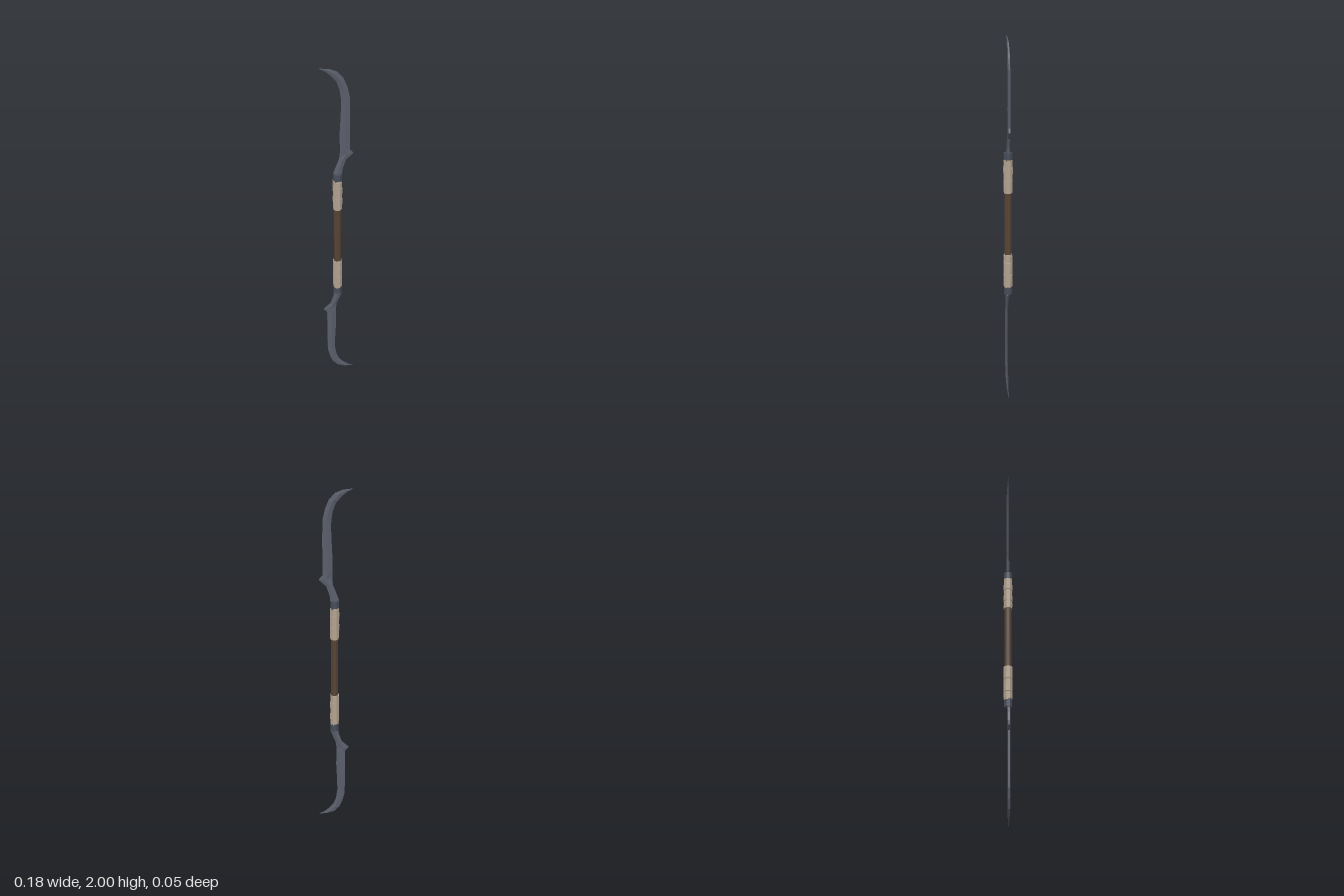
import * as THREE from 'three';

const material = (name, color) => {
  const m = new THREE.MeshStandardMaterial({ color });
  m.name = name;
  return m;
};

// Faceted blade: rings of [inner x, inner y, outer x, outer y, half thickness]
function bladeGeometry() {
  const stations = [
    [-0.024, 1.405, 0.020, 1.395, 0.010],
    [-0.012, 1.440, 0.024, 1.430, 0.009],
    [0.005, 1.485, 0.041, 1.482, 0.008],
    [0.010, 1.520, 0.079, 1.518, 0.008],
    [0.010, 1.550, 0.060, 1.540, 0.008],
    [0.009, 1.640, 0.060, 1.640, 0.008],
    [0.014, 1.740, 0.060, 1.750, 0.008],
    [0.016, 1.820, 0.058, 1.840, 0.008],
    [0.008, 1.880, 0.046, 1.895, 0.008],
    [-0.008, 1.925, 0.028, 1.940, 0.007],
    [-0.035, 1.958, -0.002, 1.976, 0.005],
    [-0.060, 1.980, -0.042, 1.993, 0.003],
    [-0.092, 1.999, -0.091, 2.000, 0.0005],
  ];
  const rings = stations.map(([ix, iy, ox, oy, t]) => {
    const rx = ix + (ox - ix) * 0.5, ry = iy + (oy - iy) * 0.5;
    return [[ix, iy, 0], [rx, ry, t], [ox, oy, t * 0.6], [ox, oy, -t * 0.6], [rx, ry, -t]];
  });
  const pos = [];
  const tri = (...corners) => corners.forEach((c) => pos.push(...c));
  for (let i = 0; i < rings.length - 1; i++) {
    for (let j = 0; j < 5; j++) {
      const k = (j + 1) % 5, lo = rings[i], hi = rings[i + 1];
      tri(lo[j], lo[k], hi[k]);
      tri(lo[j], hi[k], hi[j]);
    }
  }
  const base = rings[0], tip = rings[rings.length - 1];
  for (let j = 1; j < 4; j++) {
    tri(base[0], base[j + 1], base[j]);
    tri(tip[0], tip[j], tip[j + 1]);
  }
  const g = new THREE.BufferGeometry();
  g.setAttribute('position', new THREE.Float32BufferAttribute(pos, 3));
  g.computeVertexNormals();
  return g;
}

// Eight-sided rod with flat facets between two heights
function rod(name, radius, y0, y1, mat, slope = 0) {
  let g = new THREE.CylinderGeometry(radius, radius, y1 - y0, 8);
  g.rotateY(Math.PI / 8);
  const p = g.attributes.position;
  for (let i = 0; i < p.count; i++) p.setY(i, p.getY(i) + slope * p.getX(i));
  g = g.toNonIndexed();
  g.computeVertexNormals();
  const mesh = new THREE.Mesh(g, mat);
  mesh.name = name;
  mesh.position.set(-0.002, (y0 + y1) / 2, 0);
  return mesh;
}

export function createModel() {
  const steel = material('blade steel', 0x5a5e6a);
  const darkSteel = material('collar steel', 0x474d5a);
  const cloth = material('wrap cloth', 0xb3a390);
  const wood = material('grip wood', 0x574435);

  const model = new THREE.Group();
  model.name = 'doubleBladedStaff';
  model.add(rod('grip', 0.0205, 0.80, 1.21, wood));

  // Cloth wraps: a core with slanted overlapping bands
  for (const [name, y0, y1] of [['lowerWrap', 0.645, 0.835], ['upperWrap', 1.18, 1.362]]) {
    const wrap = new THREE.Group();
    wrap.name = name;
    wrap.add(rod('wrapCore', 0.0235, y0, y1, cloth));
    const n = 5, step = (y1 - y0 - 0.014) / n;
    for (let i = 0; i < n; i++) {
      const a = y0 + 0.007 + i * step;
      const radius = i % 2 ? 0.0262 : 0.0250;
      wrap.add(rod('wrapBand', radius, a, a + step, cloth, i % 2 ? -0.25 : -0.15));
    }
    model.add(wrap);
  }

  // Metal collars
  model.add(rod('lowerCollar', 0.0235, 0.605, 0.65, darkSteel));
  model.add(rod('upperCollar', 0.0235, 1.355, 1.40, darkSteel));

  // Matching blades, the lower one turned half a revolution
  const geometry = bladeGeometry();
  const upper = new THREE.Mesh(geometry, steel);
  upper.name = 'upperBlade';
  const lower = new THREE.Mesh(geometry, steel);
  lower.name = 'lowerBlade';
  lower.rotation.z = Math.PI;
  lower.position.set(-0.002, 2.003, 0.004);
  model.add(upper, lower);
  return model;
}
